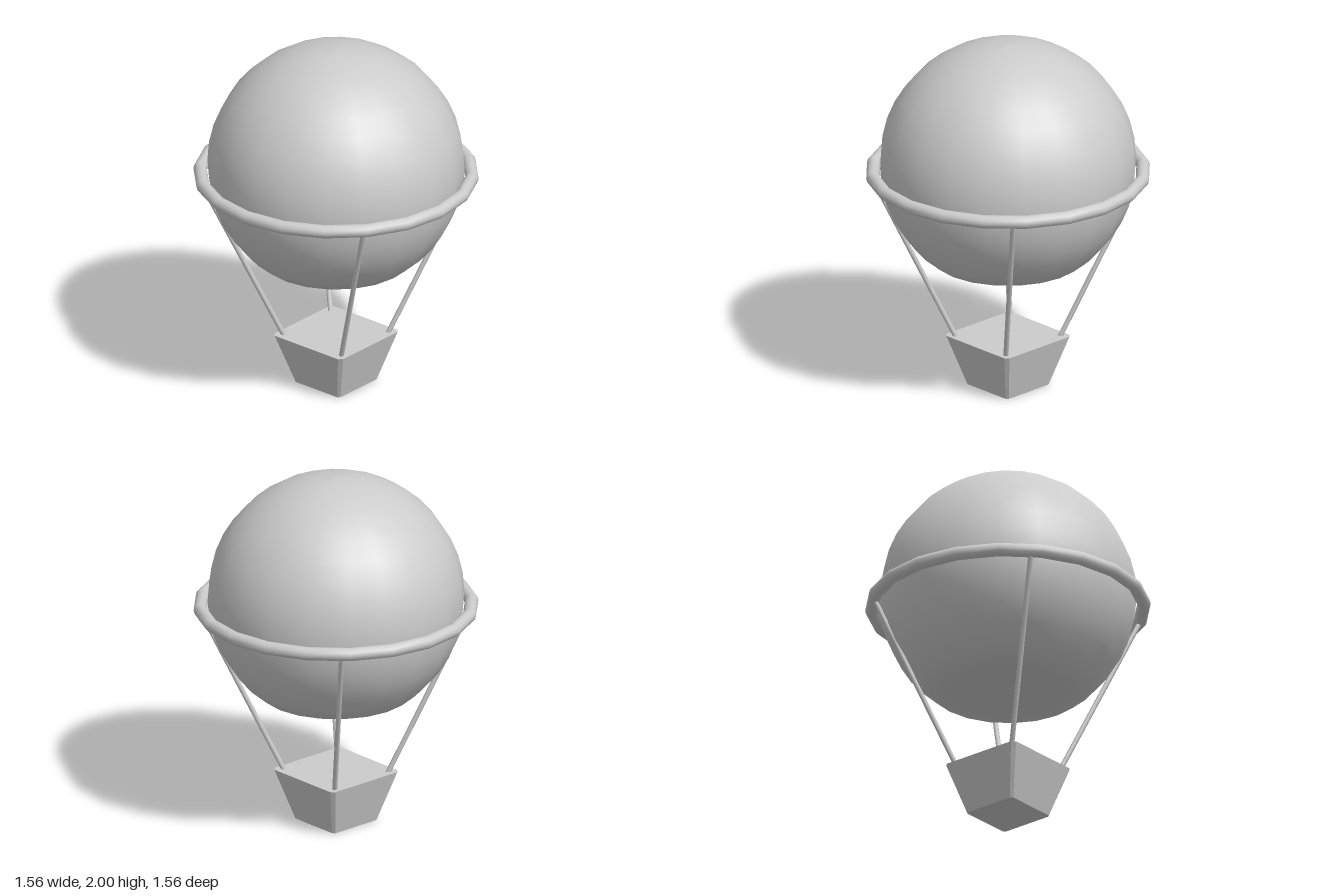
import * as THREE from 'three';

const material = new THREE.MeshStandardMaterial({ color: 0xcccccc });
const flatMaterial = new THREE.MeshStandardMaterial({ color: 0xcccccc, flatShading: true });

function part(name, geometry, mat = material) {
  const mesh = new THREE.Mesh(geometry, mat);
  mesh.name = name;
  return mesh;
}

// Sphere profile whose lowest rings are pressed flat
function envelopeGeometry() {
  const points = [];
  for (let i = 0; i <= 20; i++) {
    const a = (i * Math.PI) / 20; // measured from the bottom pole
    const y = 1.305 - 0.695 * Math.cos(a);
    points.push(new THREE.Vector2(Math.max(0, 0.705 * Math.sin(a)), Math.max(y, 0.743)));
  }
  points[0].x = points[20].x = 0;
  return new THREE.LatheGeometry(points, 20);
}

// Square tapered block with narrow chamfers on its four upright corners
function basketGeometry(bottom, top, height, chamfer) {
  const c = 1 - chamfer;
  const shape = new THREE.Shape([
    [1, -c], [1, c], [c, 1], [-c, 1], [-1, c], [-1, -c], [-c, -1], [c, -1],
  ].map(([x, y]) => new THREE.Vector2(x, y)));
  const geometry = new THREE.ExtrudeGeometry(shape, { depth: height, bevelEnabled: false });
  geometry.rotateX(-Math.PI / 2);
  const p = geometry.attributes.position;
  for (let i = 0; i < p.count; i++) {
    const s = THREE.MathUtils.lerp(bottom, top, p.getY(i) / height);
    p.setXYZ(i, p.getX(i) * s, p.getY(i), p.getZ(i) * s);
  }
  geometry.computeVertexNormals();
  return geometry;
}

// Thin rod between two points
function rod(name, from, to, radius) {
  const direction = to.clone().sub(from);
  const mesh = part(name, new THREE.CylinderGeometry(radius, radius, direction.length(), 8));
  mesh.position.copy(from).addScaledVector(direction, 0.5);
  mesh.quaternion.setFromUnitVectors(new THREE.Vector3(0, 1, 0), direction.normalize());
  return mesh;
}

export function createModel() {
  const model = new THREE.Group();
  model.name = 'hotAirBalloon';

  model.add(part('envelope', envelopeGeometry()));

  // Ring around the envelope
  const ring = part('ring', new THREE.TorusGeometry(0.745, 0.037, 12, 20));
  ring.rotation.x = Math.PI / 2;
  ring.position.y = 1.25;
  model.add(ring);

  model.add(part('basket', basketGeometry(0.163, 0.248, 0.285, 0.08), flatMaterial));

  // Ropes from the basket corners to the ring, slightly off the diagonals
  const ropes = [
    ['ropeFrontLeft', 1, 1, 0.56, 0.5],
    ['ropeFrontRight', -1, 1, -0.45, 0.59],
    ['ropeBackLeft', 1, -1, 0.475, -0.575],
    ['ropeBackRight', -1, -1, -0.565, -0.48],
  ];
  for (const [name, sx, sz, x, z] of ropes) {
    model.add(rod(name, new THREE.Vector3(sx * 0.19, 0.26, sz * 0.2),
      new THREE.Vector3(x, 1.24, z), 0.014));
  }
  return model;
}
